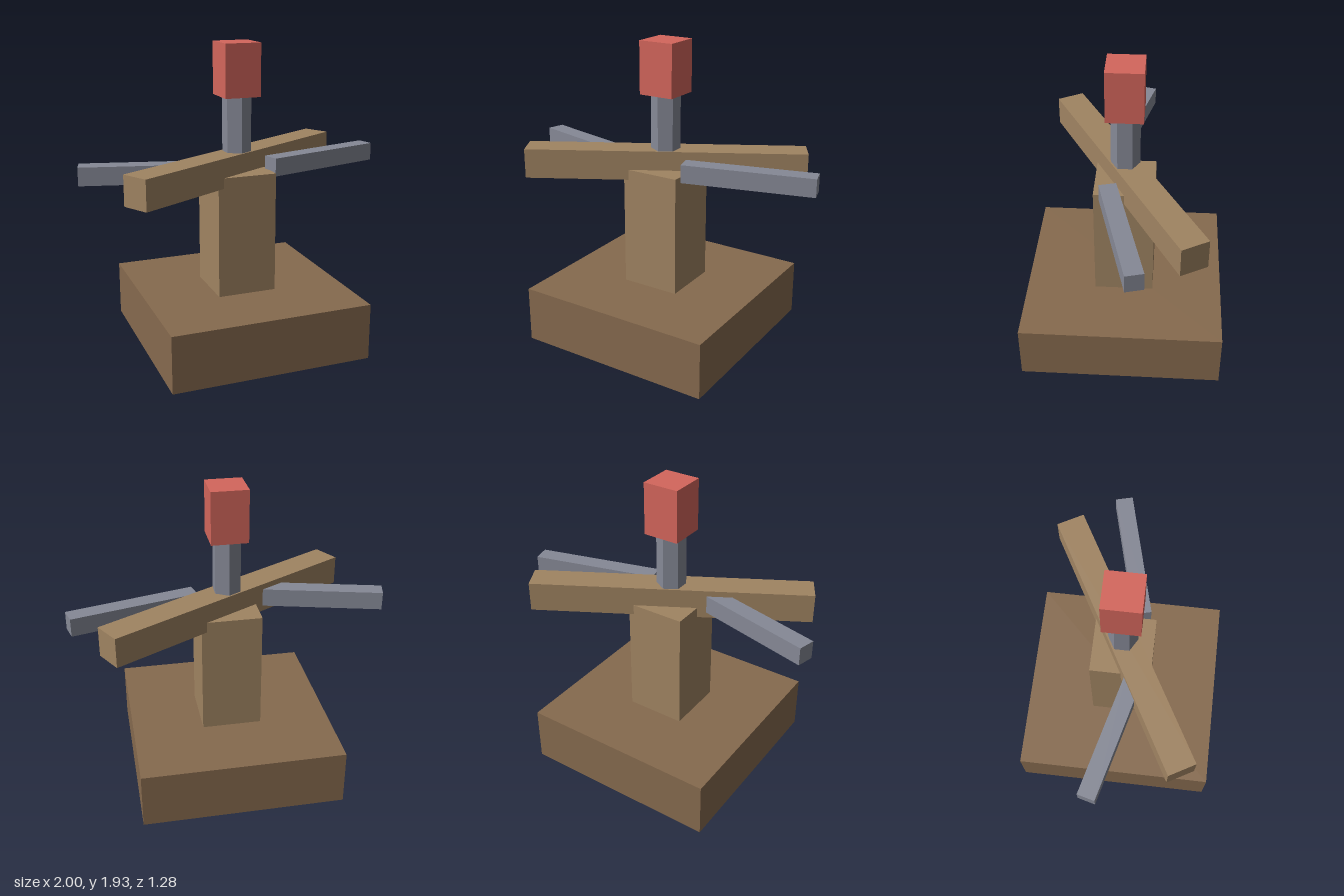
import * as THREE from 'three';

const material = (color) => new THREE.MeshStandardMaterial({ color, flatShading: true });

export function createModel() {
  const model = new THREE.Group();
  const darkWood = material(0x866a4e);
  const lightWood = material(0xa08462);
  const metal = material(0x868996);
  const red = material(0xd4665c);

  const add = (name, geometry, mat, x, y, z, turn = 0) => {
    const mesh = new THREE.Mesh(geometry, mat);
    mesh.name = name;
    mesh.position.set(x, y, z);
    mesh.rotation.y = turn;
    model.add(mesh);
  };
  const box = (w, h, d) => new THREE.BoxGeometry(w, h, d);

  // Square base and upright post
  add('base', box(1.28, 0.36, 1.28), darkWood, 0, 0.18, 0);
  add('post', box(0.38, 0.79, 0.38), lightWood, 0, 0.735, 0);

  // Crossbeam turned diagonally over the post
  add('crossbeam', box(1.764, 0.188, 0.18), lightWood, 0, 1.158, 0, 0.508);

  // Mirrored arms, swept back towards their tips
  for (const [name, side] of [['leftArm', 1], ['rightArm', -1]]) {
    add(name, box(0.82, 0.115, 0.11), metal, side * 0.587, 1.158, -0.003, side * 0.253);
  }

  // Hexagonal rod carrying the red head block
  add('rod', new THREE.CylinderGeometry(0.092, 0.092, 0.42, 6), metal, 0, 1.42, 0);
  add('head', box(0.23, 0.33, 0.23), red, 0, 1.767, 0);

  return model;
}
